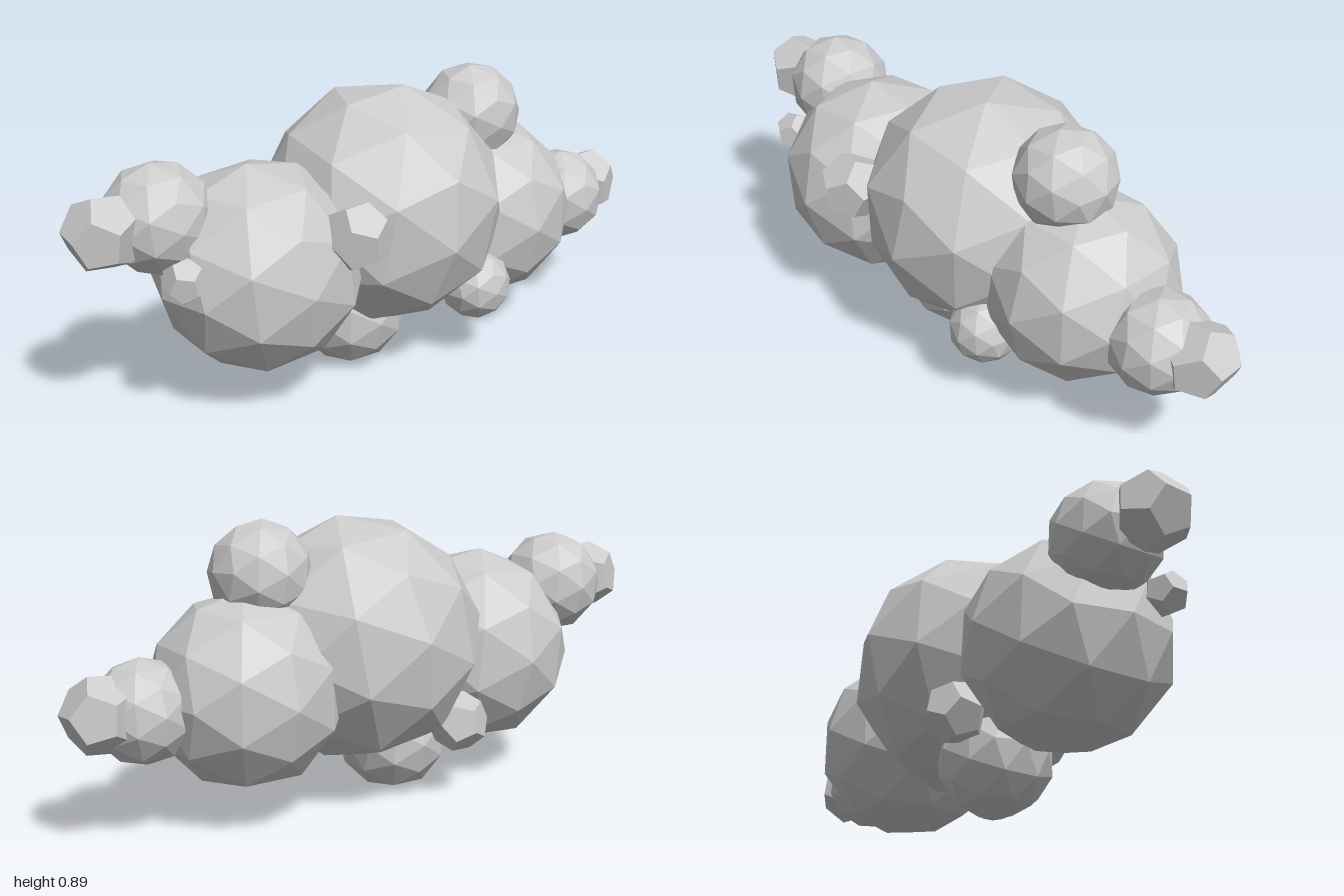
import * as THREE from 'three';

const material = new THREE.MeshStandardMaterial({ color: 0xcccccc, flatShading: true });

// name, centre, radius, tilt about x and z
const puffs = [
  ['mainPuff', [0.035, 0.505, -0.003], 0.38, 0.13, -0.13],
  ['leftPuff', [-0.43, 0.415, 0.03], 0.317, 0, 0.1],
  ['rightPuff', [0.435, 0.402, -0.015], 0.298, 0, 0],
  ['topPuff', [0.37, 0.737, 0.005], 0.158, 0.1, 0.1],
  ['bottomPuff', [-0.09, 0.177, -0.005], 0.177, 0, 0],
  ['rightSidePuff', [0.755, 0.38, 0.01], 0.155, 0.1, 0],
  ['leftSidePuff', [-0.715, 0.605, -0.03], 0.165, 0, 0.1],
  ['lowFrontPuff', [0.25, 0.243, 0.2], 0.112, 0, 0.1],
];

// coarser, twelve-sided puffs
const tufts = [
  ['rightTip', [0.888, 0.393, -0.005], 0.117, 0.1, 0.1],
  ['leftTip', [-0.893, 0.605, -0.005], 0.115, 0.1, -0.1],
  ['frontTuft', [-0.25, 0.545, 0.285], 0.105, 0.1, 0.1],
  ['smallLeftTuft', [-0.73, 0.48, 0.155], 0.068, 0, 0.2],
  ['backTuft', [-0.2, 0.245, -0.205], 0.095, 0.2, 0],
];

export function createModel() {
  const cloud = new THREE.Group();
  cloud.name = 'cloud';
  const add = (geometry, [name, centre, , tiltX, tiltZ]) => {
    const mesh = new THREE.Mesh(geometry, material);
    mesh.name = name;
    mesh.position.set(...centre);
    mesh.rotation.set(tiltX, 0, tiltZ);
    cloud.add(mesh);
  };
  for (const p of puffs) add(new THREE.IcosahedronGeometry(p[2], 1), p);
  for (const t of tufts) add(new THREE.DodecahedronGeometry(t[2], 0), t);
  return cloud;
}
